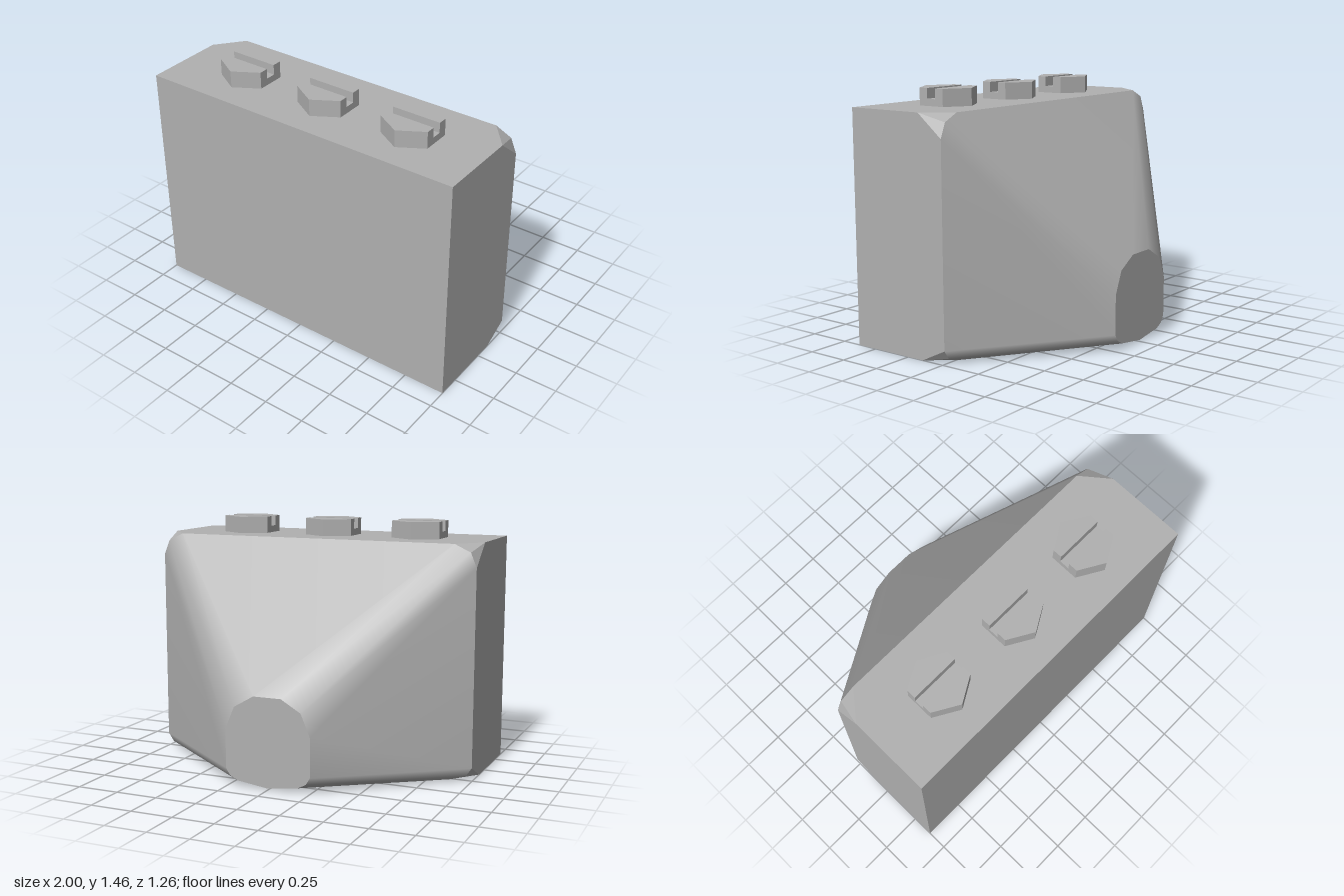
import * as THREE from 'three';

const HEIGHT = 1.36, FRONT = 0.63, SHOULDER = 0.145, WAIST = -0.015, BACK = -0.63;

// Outline from bottom centre up the +x side, then mirrored down the -x side
function ring(half) {
  return half.concat(half.slice(1).reverse().map(([x, y]) => [-x, y]));
}

// Wall between two outlines with the same number of points
function wall(a, za, b, zb, smooth) {
  const n = a.length, pos = [], index = [];
  a.forEach(([x, y]) => pos.push(x, y, za));
  b.forEach(([x, y]) => pos.push(x, y, zb));
  for (let i = 0; i < n; i++) {
    const j = (i + 1) % n;
    index.push(i, n + i, j, j, n + i, n + j);
  }
  let geo = new THREE.BufferGeometry();
  geo.setAttribute('position', new THREE.Float32BufferAttribute(pos, 3));
  geo.setIndex(index);
  if (!smooth) geo = geo.toNonIndexed();
  geo.computeVertexNormals();
  return geo;
}

export function createModel() {
  const model = new THREE.Group();
  model.name = 'wedgeBlock';
  const grey = new THREE.MeshStandardMaterial({ color: 0xb0b0b0 });
  grey.name = 'plainGrey';

  const add = (parent, geo, name, x = 0, y = 0, z = 0) => {
    const mesh = new THREE.Mesh(geo, grey);
    mesh.name = name;
    mesh.position.set(x, y, z);
    parent.add(mesh);
  };

  // Outlines: square, with cut corners, and the small rounded tip
  const square = ring([[0, 0], [1, 0], [1, 0], [1, 0], [1, HEIGHT], [1, HEIGHT], [1, HEIGHT]]);
  const cut = ring([[0, 0], [0.87, 0], [0.965, 0.03], [1, 0.08], [1, 1.23], [0.965, 1.315], [0.87, HEIGHT]]);
  const tip = ring([[0, 0.01], [0.187, 0.035], [0.235, 0.06], [0.26, 0.1], [0.26, 0.33], [0.205, 0.46], [0.085, 0.53]]);

  // Body
  add(model, new THREE.PlaneGeometry(2, HEIGHT), 'frontFace', 0, HEIGHT / 2, FRONT);
  add(model, wall(square, FRONT, square, SHOULDER, false), 'blockSides');
  add(model, wall(square, SHOULDER, cut, WAIST, false), 'cutCorners');
  add(model, wall(cut, WAIST, tip, BACK, true), 'taperedBack');
  const tipShape = new THREE.Shape(tip.map(([x, y]) => new THREE.Vector2(x, y)));
  add(model, new THREE.ShapeGeometry(tipShape).rotateY(Math.PI), 'backFace', 0, 0, BACK);

  // Slotted hexagonal studs
  const r = 0.17, w = r * Math.cos(Math.PI / 6), base = 0.04, top = 0.06, slot = 0.03;
  const jaw = new THREE.Shape([[-w, slot], [w, slot], [w, r / 2], [0, r], [-w, r / 2]]
    .map(([x, y]) => new THREE.Vector2(x, y)));
  const jawGeo = new THREE.ExtrudeGeometry(jaw, { depth: top, bevelEnabled: false }).rotateX(-Math.PI / 2);
  const baseGeo = new THREE.CylinderGeometry(r, r, base, 6).toNonIndexed();
  baseGeo.computeVertexNormals();
  for (const x of [-0.555, 0, 0.555]) {
    const stud = new THREE.Group();
    stud.name = 'slottedStud';
    stud.position.set(x, HEIGHT, 0.315);
    add(stud, baseGeo, 'studBase', 0, base / 2, 0);
    add(stud, jawGeo, 'studBackHalf', 0, base, 0);
    add(stud, jawGeo.clone().rotateY(Math.PI), 'studFrontHalf', 0, base, 0);
    model.add(stud);
  }
  return model;
}
